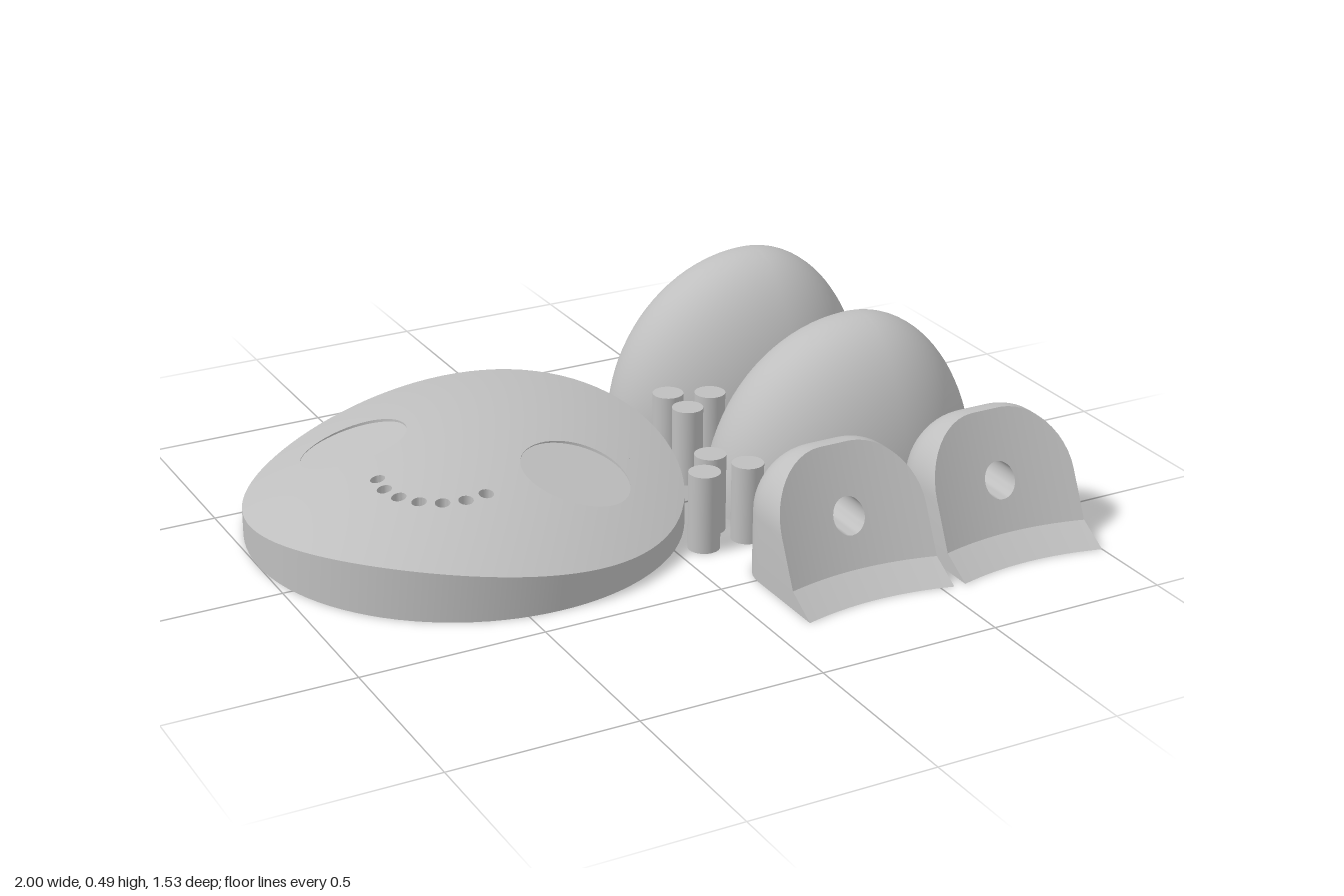
import * as THREE from 'three';
import { toCreasedNormals } from 'three/addons/utils/BufferGeometryUtils.js';

const grey = new THREE.MeshStandardMaterial({ color: 0xbfbfbf });
grey.name = 'warm grey plastic';

const V2 = (x, y) => new THREE.Vector2(x, y);
const V3 = (x, y, z) => new THREE.Vector3(x, y, z);
const ring = (cx, cy, r, n = 32) => Array.from({ length: n }, (_, i) =>
  V2(cx + r * Math.cos(i * 2 * Math.PI / n), cy + r * Math.sin(i * 2 * Math.PI / n)));

function add(group, name, geometry) {
  const mesh = new THREE.Mesh(geometry, grey);
  mesh.name = name;
  group.add(mesh);
  return mesh;
}

// Skin through rows of points, smooth except at sharp edges
function loft(rows) {
  const n = rows[0].length, index = [];
  for (let i = 0; i < rows.length - 1; i++) for (let j = 0; j < n - 1; j++) {
    const a = i * n + j, b = a + 1, c = a + n + 1, d = a + n;
    index.push(a, b, c, a, c, d);
  }
  const g = new THREE.BufferGeometry().setFromPoints(rows.flat());
  g.setIndex(index);
  return toCreasedNormals(g.toNonIndexed(), 0.6);
}

// Wall between two mapped copies of a closed 2D loop
const wall = (loop, from, to) => {
  const closed = [...loop, loop[0]];
  return loft([from, to].map(map => closed.map(p => map(p.x, p.y))));
};

// 2D outline with holes, cut into small triangles and mapped onto a surface
function face(outline, holes, map, flip = false, maxEdge = Infinity) {
  const shape = new THREE.Shape(outline);
  holes.forEach(h => shape.holes.push(new THREE.Path(h)));
  const flat = new THREE.ShapeGeometry(shape).toNonIndexed().attributes.position;
  const points = [], normals = [], e = 1e-4;
  const emit = p => {
    const q = map(p.x, p.y);
    const n = map(p.x + e, p.y).sub(q).cross(map(p.x, p.y + e).sub(q)).normalize();
    points.push(q);
    normals.push(flip ? n.negate() : n);
  };
  const split = (a, b, c) => {
    const ab = a.distanceTo(b), bc = b.distanceTo(c), ca = c.distanceTo(a);
    const longest = Math.max(ab, bc, ca);
    if (longest <= maxEdge) return (flip ? [a, c, b] : [a, b, c]).forEach(emit);
    if (longest === bc) [a, b, c] = [b, c, a];
    else if (longest === ca) [a, b, c] = [c, a, b];
    const m = a.clone().add(b).multiplyScalar(0.5);
    split(a, m, c);
    split(m, b, c);
  };
  const at = i => V2(flat.getX(i), flat.getY(i));
  for (let i = 0; i < flat.count; i += 3) split(at(i), at(i + 1), at(i + 2));
  const g = new THREE.BufferGeometry().setFromPoints(points);
  g.setAttribute('normal', new THREE.Float32BufferAttribute(normals.flatMap(n => n.toArray()), 3));
  return g;
}

const level = y => (x, z) => V3(x, y, z);

// Blind peg hole in an underside
function pegHole(group, loop, depth) {
  add(group, 'pegHoleWall', wall(loop, level(0), level(depth)));
  add(group, 'pegHoleEnd', face(loop, [], level(depth)));
}

// Round saddle-topped body with two eye recesses and a curved row of holes
function makeBody() {
  const g = new THREE.Group();
  g.name = 'roundBody';
  const height = (x, z) => 0.236 - 0.478 * x * x - 0.19 * z * z - 0.05 * z;
  const top = (x, z) => V3(x, height(x, z), z);
  const rim = ring(0, 0, 0.59, 96);

  const mouth = [];
  for (let i = -3; i <= 3; i++) {
    const a = i * 0.361;
    mouth.push(ring(0.17 * Math.sin(a), 0.152 + 0.17 * Math.cos(a), 0.02, 16));
  }
  const eyes = [-1, 1].map(s => ({ x: s * 0.315, loop: ring(s * 0.315, 0, 0.145, 48) }));

  add(g, 'bodyTop', face(rim, [...mouth, ...eyes.map(e => e.loop)], top, true, 0.06));
  add(g, 'bodySide', wall(rim, top, level(0)));

  // Flat tilted eye recesses
  eyes.forEach(({ x: cx, loop }) => {
    const plane = (x, z) => V3(x, height(cx, 0) - 0.012 - 0.956 * cx * (x - cx) - 0.05 * z, z);
    add(g, 'eyeRecessFloor', face(loop, [], plane, true));
    add(g, 'eyeRecessWall', wall(loop, plane, top));
  });

  // Pocket below the mouth holes
  const pocket = [V2(-0.205, 0.205), V2(0.205, 0.205), V2(0.205, 0.36), V2(-0.205, 0.36)];
  const ceiling = level(0.1);
  add(g, 'pocketWall', wall(pocket, level(0), ceiling));
  add(g, 'pocketCeiling', face(pocket, mouth, ceiling));
  mouth.forEach(loop => add(g, 'mouthHole', wall(loop, ceiling, top)));

  // Underside with four peg holes
  const pegs = [[-0.497, 0], [0.497, 0], [-0.35, 0.35], [0.35, 0.35]].map(([x, z]) => ring(x, z, 0.043, 24));
  add(g, 'bodyUnderside', face(rim, [pocket, ...pegs], level(0)));
  pegs.forEach(p => pegHole(g, p, 0.06));

  g.rotation.y = -Math.PI / 4;
  g.position.set(-0.41, 0, -0.175);
  return g;
}

// Half-egg dome, longer toward -x, with two peg holes underneath
function makeDome(z) {
  const g = new THREE.Group();
  g.name = 'eggDome';
  const rows = [];
  for (let i = 24; i >= 0; i--) {
    const phi = i / 24 * Math.PI / 2;
    rows.push(ring(0, 0, Math.cos(phi), 64).map(p =>
      V3(p.x * (p.x > 0 ? 0.34 : 0.455), 0.49 * Math.sin(phi), p.y * 0.2725)));
    rows[rows.length - 1].push(rows[rows.length - 1][0].clone());
  }
  add(g, 'domeShell', loft(rows));
  const base = rows[24].slice(0, -1).map(p => V2(p.x, p.z));
  const pegs = [-0.15, 0.08].map(x => ring(x, 0, 0.043, 24));
  add(g, 'domeUnderside', face(base, pegs, level(0)));
  pegs.forEach(p => pegHole(g, p, 0.1));
  g.position.set(0.66, 0, z);
  return g;
}

// Arched foot with a rounded back, sloping front and concave toe
function makeFoot(x) {
  const g = new THREE.Group();
  g.name = 'archedFoot';
  const W = 0.2155, H = 0.345, R = 0.17, F = 0.12, back = 0.387, toe = 0.05;
  const frontZ = (px, y) => (y < toe ? 0.765 - 1.7 * y : 0.68 - (y - toe) * 0.475)
    - 0.03 * (1 - (px / W) ** 2);
  const front = (px, y) => V3(px, y, frontZ(px, y));
  const arch = d => {
    const w = W - d, r = R - d, half = [V2(w, 0), V2(w, toe)];
    for (let i = 0; i <= 12; i++) {
      const a = i / 12 * Math.PI / 2;
      half.push(V2(W - R + r * Math.cos(a), H - R + r * Math.sin(a)));
    }
    return [...half, ...half.map(p => V2(-p.x, p.y)).reverse()];
  };

  // Rounded back edge and straight sides
  const rows = [];
  for (let i = 0; i <= 10; i++) {
    const t = i / 10 * Math.PI / 2, z = back + F * (1 - Math.cos(t));
    rows.push(arch(F * (1 - Math.sin(t))).map(p => V3(p.x, p.y, z)));
  }
  rows.push(arch(0).map(p => front(p.x, p.y)));
  add(g, 'footSides', loft(rows));
  add(g, 'footBack', face(arch(F), [], (px, y) => V3(px, y, back), true));

  // Sloping front with a peg hole
  const hole = ring(0, 0.175, 0.046), end = (px, y) => V3(px, y, 0.46);
  add(g, 'footFront', face(arch(0).slice(1, -1), [hole], front, false, 0.05));
  add(g, 'footHoleWall', wall(hole, front, end));
  add(g, 'footHoleEnd', face(hole, [], end));

  // Toe strip and underside
  const xs = Array.from({ length: 17 }, (_, i) => W * (i / 8 - 1));
  add(g, 'footToe', loft([0, toe].map(y => xs.map(px =>
    V3(px, y, (y ? 0.68 : 0.765) - 0.03 * (1 - (px / W) ** 2))))));
  const right = rows.map(r => V2(r[0].x, r[0].z));
  const left = right.map(p => V2(-p.x, p.y)).reverse();
  const edge = xs.slice(1, -1).reverse().map(px => V2(px, frontZ(px, 0)));
  add(g, 'footUnderside', face([...right, ...edge, ...left], [], level(0)));
  g.position.x = x;
  return g;
}

export function createModel() {
  const model = new THREE.Group();
  model.name = 'modelKit';
  model.add(makeBody());
  [-0.4925, 0.0825].forEach(z => model.add(makeDome(z)));
  [0.32, 0.7845].forEach(x => model.add(makeFoot(x)));

  // Loose joining pegs
  const pegs = [[0.245, -0.24], [0.35, -0.19], [0.245, -0.127], [0.148, 0.173], [0.08, 0.265], [0.208, 0.268]];
  pegs.forEach(([x, z]) =>
    add(model, 'peg', new THREE.CylinderGeometry(0.043, 0.043, 0.218, 32)).position.set(x, 0.109, z));
  return model;
}
